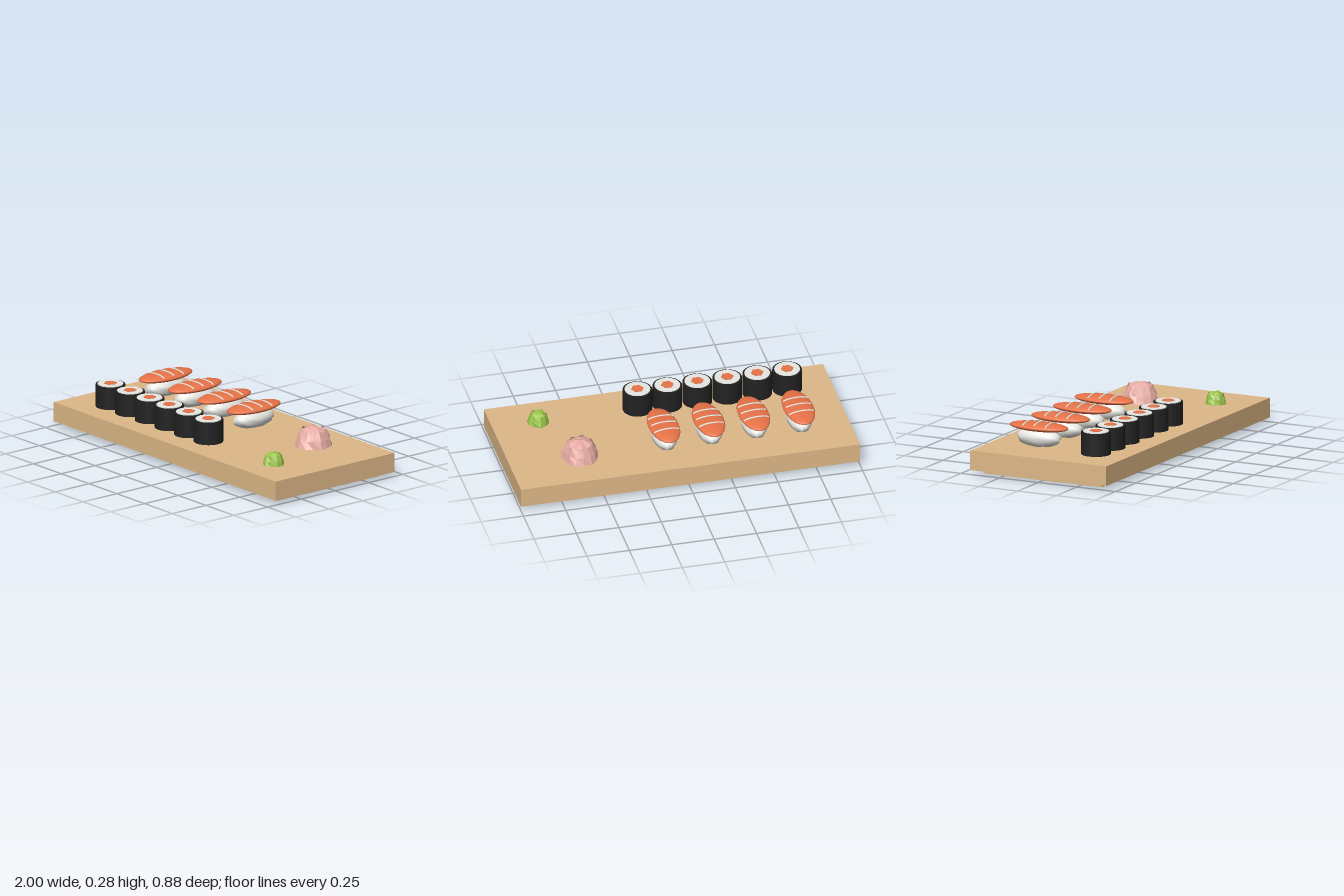
import * as THREE from 'three';
import { mergeVertices } from 'three/addons/utils/BufferGeometryUtils.js';

const paint = (name, color, extra = {}) => Object.assign(new THREE.MeshStandardMaterial({ color, ...extra }), { name });

export function createModel() {
  const wood = paint('wood', 0xdeb887);
  const seaweed = paint('seaweed', 0x222222);
  const riceWhite = paint('rice white', 0xf5f5f0);
  const salmon = paint('salmon', 0xff7f50);
  const gingerPink = paint('ginger pink', 0xf9bab2, { flatShading: true, side: THREE.DoubleSide });
  const wasabiGreen = paint('wasabi green', 0x9ac24a, { flatShading: true, side: THREE.DoubleSide });

  const model = new THREE.Group();
  model.name = 'sushiBoard';
  const add = (parent, name, geometry, material, x = 0, y = 0, z = 0) => {
    const mesh = new THREE.Mesh(geometry, material);
    mesh.name = name;
    mesh.position.set(x, y, z);
    parent.add(mesh);
    return mesh;
  };

  // Serving board on two feet
  const top = 0.141;
  add(model, 'board', new THREE.BoxGeometry(2, 0.115, 0.88), wood, 0, 0.0835, 0);
  for (const side of [-1, 1]) {
    add(model, 'foot', new THREE.BoxGeometry(0.116, 0.026, 0.76), wood, side * 0.882, 0.013, 0);
  }

  // Row of rolls: seaweed wrap, rice disc, hexagonal filling
  const wrap = new THREE.CylinderGeometry(0.085, 0.085, 0.132, 28);
  const disc = new THREE.CylinderGeometry(0.074, 0.074, 0.01, 28);
  const filling = new THREE.CylinderGeometry(0.037, 0.037, 0.01, 6);
  filling.rotateY(Math.PI / 6);
  for (let i = 0; i < 6; i++) {
    const roll = new THREE.Group();
    roll.name = 'roll';
    roll.position.set(-0.737 + i * 0.1765, top, 0.235);
    add(roll, 'wrap', wrap, seaweed, 0, 0.066, 0);
    add(roll, 'rollRice', disc, riceWhite, 0, 0.131, 0);
    add(roll, 'filling', filling, salmon, 0, 0.134, 0);
    model.add(roll);
  }

  // Lumpy rice ball, pushed in and out by a smooth wave
  let riceBall = new THREE.SphereGeometry(1, 18, 12);
  riceBall.deleteAttribute('uv');
  riceBall.deleteAttribute('normal');
  riceBall = mergeVertices(riceBall);
  const p = riceBall.attributes.position;
  for (let i = 0; i < p.count; i++) {
    const x = p.getX(i), y = p.getY(i), z = p.getZ(i);
    const k = 1 + 0.06 * Math.sin(7 * x + 3 * z) * Math.cos(6 * y - 5 * z);
    p.setXYZ(i, x * k * 0.07, Math.max(y * k * 0.056, -0.05), z * k * 0.138);
  }
  riceBall.computeVertexNormals();

  // Fish slices with pale streaks following the curved top
  const rx = 0.088, ry = 0.025, rz = 0.186;
  const fish = new THREE.SphereGeometry(1, 28, 16);
  fish.scale(rx, ry, rz);
  const streak = (z) => {
    const points = [];
    for (let i = 0; i <= 8; i++) {
      const x = -0.074 + i * 0.0185;
      const pz = z - x * 0.06;
      const h = Math.max(0, 1 - (x / rx) ** 2 - (pz / rz) ** 2);
      points.push(new THREE.Vector3(x, ry * Math.sqrt(h), pz));
    }
    return new THREE.TubeGeometry(new THREE.CatmullRomCurve3(points), 14, 0.005, 6);
  };
  const streaks = [-0.072, 0, 0.072].map(streak);
  for (let i = 0; i < 4; i++) {
    const nigiri = new THREE.Group();
    nigiri.name = 'nigiri';
    nigiri.position.set(-0.708 + i * 0.265, top, -0.149);
    add(nigiri, 'riceBall', riceBall, riceWhite, 0, 0.05, 0);
    add(nigiri, 'fishSlice', fish, salmon, 0, 0.114, 0);
    for (const g of streaks) add(nigiri, 'streak', g, riceWhite, 0, 0.114, 0);
    model.add(nigiri);
  }

  // Crumpled mound: a lathe whose rings wobble, with a frill of pointed tips
  const mound = (name, material, profile, sides, wobble, x, z, phase) => {
    const group = new THREE.Group();
    group.name = name;
    group.position.set(x, top, z);
    const crumple = (points, zigzag) => {
      const g = new THREE.LatheGeometry(points.map(([r, y]) => new THREE.Vector2(r, y)), sides);
      const a = g.attributes.position;
      const rows = points.length;
      for (let i = 0; i < a.count; i++) {
        const row = i % rows, col = Math.floor(i / rows) % sides;
        const wave = Math.sin(col * 2.4 + row * 1.7 + phase);
        const k = 1 + wobble * wave;
        const lift = zigzag && row === rows - 1 ? zigzag * ((col % 2) * 2 - 1) : 0;
        const drop = row > 0 && row < rows - 1 ? wobble * 0.06 * Math.cos(col * 1.9 + phase) : 0;
        a.setXYZ(i, a.getX(i) * k, a.getY(i) + lift + drop, a.getZ(i) * k);
      }
      g.computeVertexNormals();
      return g;
    };
    add(group, name + 'Body', crumple(profile, 0), material);
    const [r0, y0] = profile[1], [r1, y1] = profile[2];
    add(group, name + 'Frill', crumple([[r0 * 1.04, y0], [r1 * 1.06, y1]], y1 * 0.09), material);
    model.add(group);
  };
  mound('ginger', gingerPink,
    [[0.107, 0], [0.092, 0.045], [0.07, 0.092], [0.038, 0.106], [0, 0.114]], 14, 0.06, 0.587, -0.178, 0.6);
  mound('wasabi', wasabiGreen,
    [[0.063, 0], [0.055, 0.028], [0.043, 0.056], [0.026, 0.068], [0, 0.073]], 10, 0.07, 0.73, 0.233, 2);

  return model;
}
